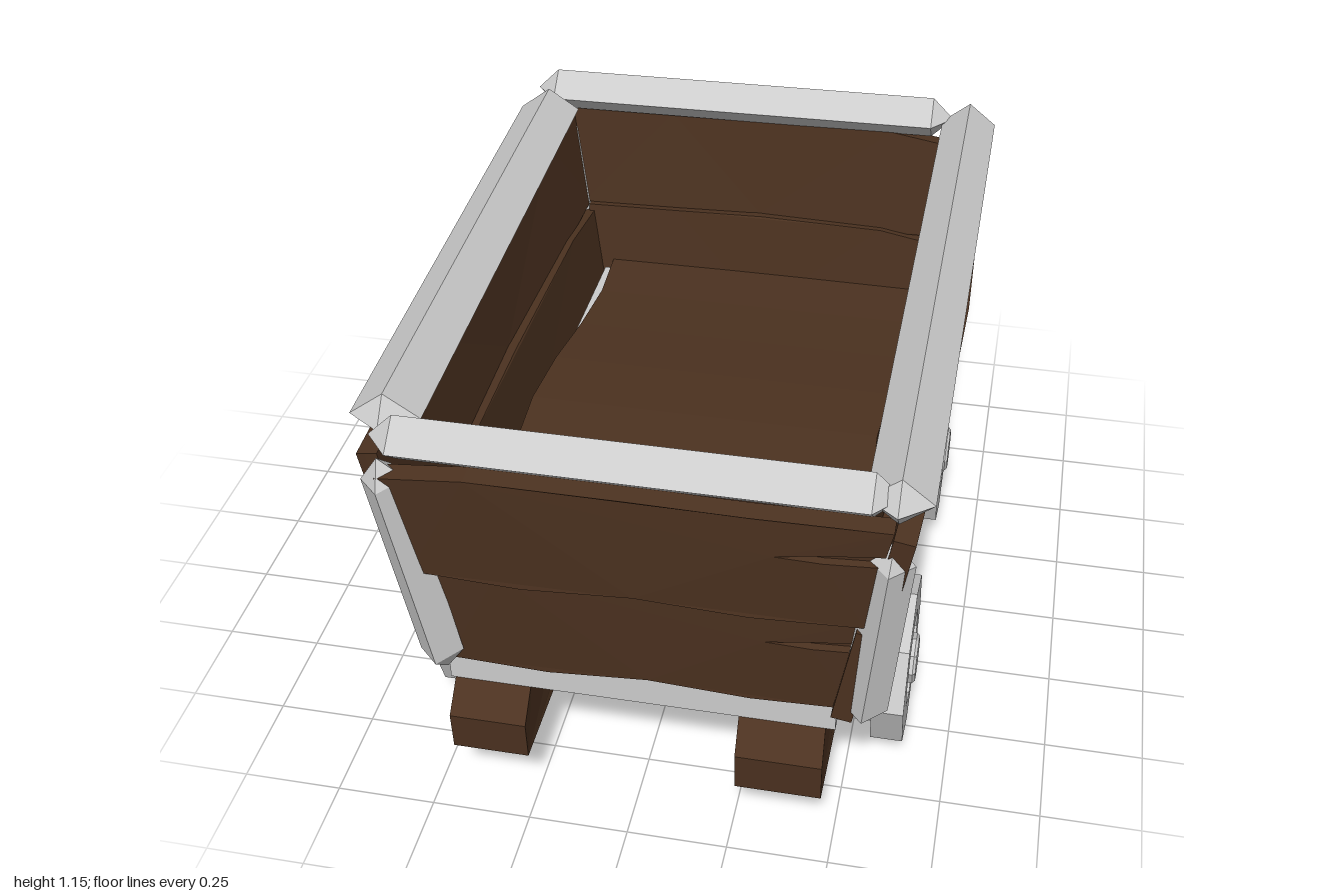
import * as THREE from 'three';

const grey = new THREE.MeshStandardMaterial({ color: 0xcccccc, flatShading: true });
const wood = new THREE.MeshStandardMaterial({ color: 0x4c3220, flatShading: true });

const V = (a) => new THREE.Vector3(...a);
const toShape = (pts) => new THREE.Shape(pts.map((p) => new THREE.Vector2(...p)));

function add(parent, name, geometry, material, pos = [0, 0, 0]) {
  const mesh = new THREE.Mesh(geometry, material);
  mesh.name = name;
  mesh.position.set(...pos);
  parent.add(mesh);
  return mesh;
}

// Four-sided bar with pyramid ends, running from a to b
function bar(parent, name, a, b, rx, rz, tip = 0.06) {
  const p = V(a), q = V(b), L = p.distanceTo(q) / 2;
  const profile = [[0.004, -L], [1, tip - L], [1, L - tip], [0.004, L]];
  const geo = new THREE.LatheGeometry(profile.map((c) => new THREE.Vector2(...c)), 4);
  geo.scale(rx, 1, rz);
  const mesh = add(parent, name, geo, grey, p.clone().add(q).multiplyScalar(0.5).toArray());
  mesh.quaternion.setFromUnitVectors(new THREE.Vector3(0, 1, 0), q.sub(p).normalize());
}

// Warped, outward-bowed board; the outer layer has a split running in from its right end
function plank(parent, name, [l, r], v0, v1, flare, offset, bow) {
  const m = (l + r) / 2, w = r - l, h = v1 - v0;
  const bottom = [[l, v0], [m - w * 0.25, v0 - 0.005], [m, v0 + 0.018], [m + w * 0.25, v0 + 0.002], [r, v0 + 0.008]];
  const top = [[r + flare, v1], [m + w * 0.25, v1 + 0.004], [m, v1 + 0.01], [m - w * 0.35, v1 + 0.004], [l - flare, v1 - 0.025]];
  const c = v0 + h * 0.7, e = r + flare * 0.7;
  const split = [[e, c - 0.012], [r - 0.1, c - 0.018], [r - 0.21, c - 0.012], [r - 0.1, c + 0.006], [e, c + 0.02]];
  const layers = [[[...bottom, ...top], -0.025, 0.03], [[...bottom, ...split, ...top], 0.005, 0.02]];
  for (const [pts, z, depth] of layers) {
    const geo = new THREE.ExtrudeGeometry(toShape(pts), { depth, bevelEnabled: false });
    const p = geo.attributes.position;
    for (let i = 0; i < p.count; i++) {
      p.setZ(i, p.getZ(i) + bow * Math.cos((Math.PI * (p.getX(i) - m)) / (w + 2 * flare)));
    }
    add(parent, name, geo, wood, [0, 0, z + offset]);
  }
}

function wall(parent, name, yaw, pos, lean, lower, upper, flare, offset, bow) {
  const g = new THREE.Group();
  g.name = name;
  g.rotation.set(lean, yaw, 0, 'YXZ');
  g.position.set(...pos);
  plank(g, 'lowerPlank', lower, 0, 0.312, flare / 2, 0, bow / 2);
  plank(g, 'upperPlank', upper, 0.305, 0.615, flare, offset, bow);
  parent.add(g);
}

// Eight-sided wheel with recessed faces and a raised hub
function wheelGeometry() {
  const half = [[0.001, 0.055], [0.058, 0.055], [0.065, 0.048], [0.065, 0.015], [0.115, 0.015], [0.126, 0.041], [0.215, 0.041]];
  const pts = [...half.map(([r, y]) => [r, -y]), ...half.slice().reverse()];
  const geo = new THREE.LatheGeometry(pts.map((p) => new THREE.Vector2(...p)), 8);
  return geo.rotateZ(Math.PI / 2);
}

export function createModel() {
  const cart = new THREE.Group();
  cart.name = 'cart';

  // Leaning walls
  wall(cart, 'frontWall', 0, [0, 0.42, 0.87], 0.1, [-0.455, 0.53], [-0.51, 0.55], 0.05, 0.018, 0.012);
  wall(cart, 'leftWall', Math.PI / 2, [0.505, 0.42, 0], 0.17, [-0.93, 0.86], [-0.94, 0.85], 0.025, 0.018, 0.03);
  wall(cart, 'backWall', Math.PI, [0, 0.42, -0.79], 0.11, [-0.53, 0.5], [-0.55, 0.54], 0.04, 0.02, 0.012);
  wall(cart, 'rightWall', -Math.PI / 2, [-0.485, 0.42, 0], 0.15, [-0.83, 0.89], [-0.85, 0.89], 0.025, 0.018, 0.015);

  // Top rails
  bar(cart, 'frontRail', [-0.58, 1.09, 0.925], [0.61, 1.09, 0.925], 0.06, 0.07);
  bar(cart, 'backRail', [-0.67, 1.09, -0.845], [0.56, 1.09, -0.87], 0.06, 0.075);
  bar(cart, 'leftRail', [0.605, 1.082, 0.99], [0.605, 1.082, -0.93], 0.075, 0.06);
  bar(cart, 'rightRail', [-0.565, 1.088, 0.91], [-0.605, 1.088, -0.78], 0.084, 0.06);

  // Corner posts
  bar(cart, 'frontLeftPost', [0.55, 0.39, 0.9], [0.6, 0.98, 0.94], 0.055, 0.055);
  bar(cart, 'frontRightPost', [-0.46, 0.39, 0.9], [-0.56, 1.04, 0.945], 0.055, 0.055);
  bar(cart, 'backLeftPost', [0.54, 0.42, -0.78], [0.62, 1.05, -0.86], 0.06, 0.06);
  bar(cart, 'backRightPost', [-0.545, 0.42, -0.78], [-0.62, 1.02, -0.86], 0.06, 0.06);

  // Warped floor
  const floor = new THREE.BoxGeometry(0.95, 0.04, 1.68, 4, 1, 8);
  const fp = floor.attributes.position;
  for (let i = 0; i < fp.count; i++) {
    const z = fp.getZ(i);
    fp.setX(i, fp.getX(i) - 0.02 * Math.cos(z * 5));
    fp.setY(i, fp.getY(i) + 0.02 * Math.cos(z * 4));
  }
  add(cart, 'floor', floor, wood, [0.02, 0.555, 0.04]);

  // Open frame carrying the floor
  for (const x of [-0.41, 0.44]) add(cart, 'frameSide', new THREE.BoxGeometry(0.1, 0.205, 1.63), grey, [x, 0.4475, 0.075]);
  for (const z of [-0.68, 0.83]) add(cart, 'frameEnd', new THREE.BoxGeometry(0.75, 0.205, 0.12), grey, [0.015, 0.4475, z]);

  // Rough timber runners
  const side = [[-0.96, 0.18], [-0.5, 0.182], [0, 0.2], [0.5, 0.183], [0.88, 0.195], [0.86, 0.3], [0.8, 0.355],
    [0.4, 0.35], [0, 0.355], [-0.5, 0.35], [-0.88, 0.352], [-0.97, 0.29]];
  for (const [x, w] of [[-0.445, 0.19], [0.26, 0.21]]) {
    const geo = new THREE.ExtrudeGeometry(toShape(side), { depth: w, bevelEnabled: false });
    const p = geo.attributes.position;
    for (let i = 0; i < p.count; i++) p.setZ(i, p.getZ(i) + 0.012 * Math.cos(p.getX(i) * 5));
    add(cart, 'runner', geo.rotateY(Math.PI / 2), wood, [x, 0, 0]);
  }

  // Axles and wheels
  const wheel = wheelGeometry();
  for (const z of [0.47, -0.45]) {
    const axle = new THREE.CylinderGeometry(0.04, 0.04, 1.1, 8).rotateZ(Math.PI / 2);
    add(cart, 'axle', axle, grey, [0.028, 0.23, z]);
    for (const x of [-0.543, 0.596]) add(cart, 'wheel', wheel, grey, [x, 0.219, z]);
  }

  // Pull handle on the back
  const grip = [[-0.095, 0], [-0.095, 0.065], [-0.07, 0.09], [0.07, 0.09], [0.095, 0.065], [0.095, 0],
    [0.065, 0], [0.065, 0.04], [0.055, 0.048], [-0.055, 0.048], [-0.065, 0.04], [-0.065, 0]];
  const handle = new THREE.ExtrudeGeometry(toShape(grip), { depth: 0.05, bevelSize: 0.01, bevelThickness: 0.015, bevelSegments: 1 });
  add(cart, 'handle', handle.rotateX(-Math.PI / 2), grey, [-0.035, 0.835, -0.9]);

  return cart;
}
